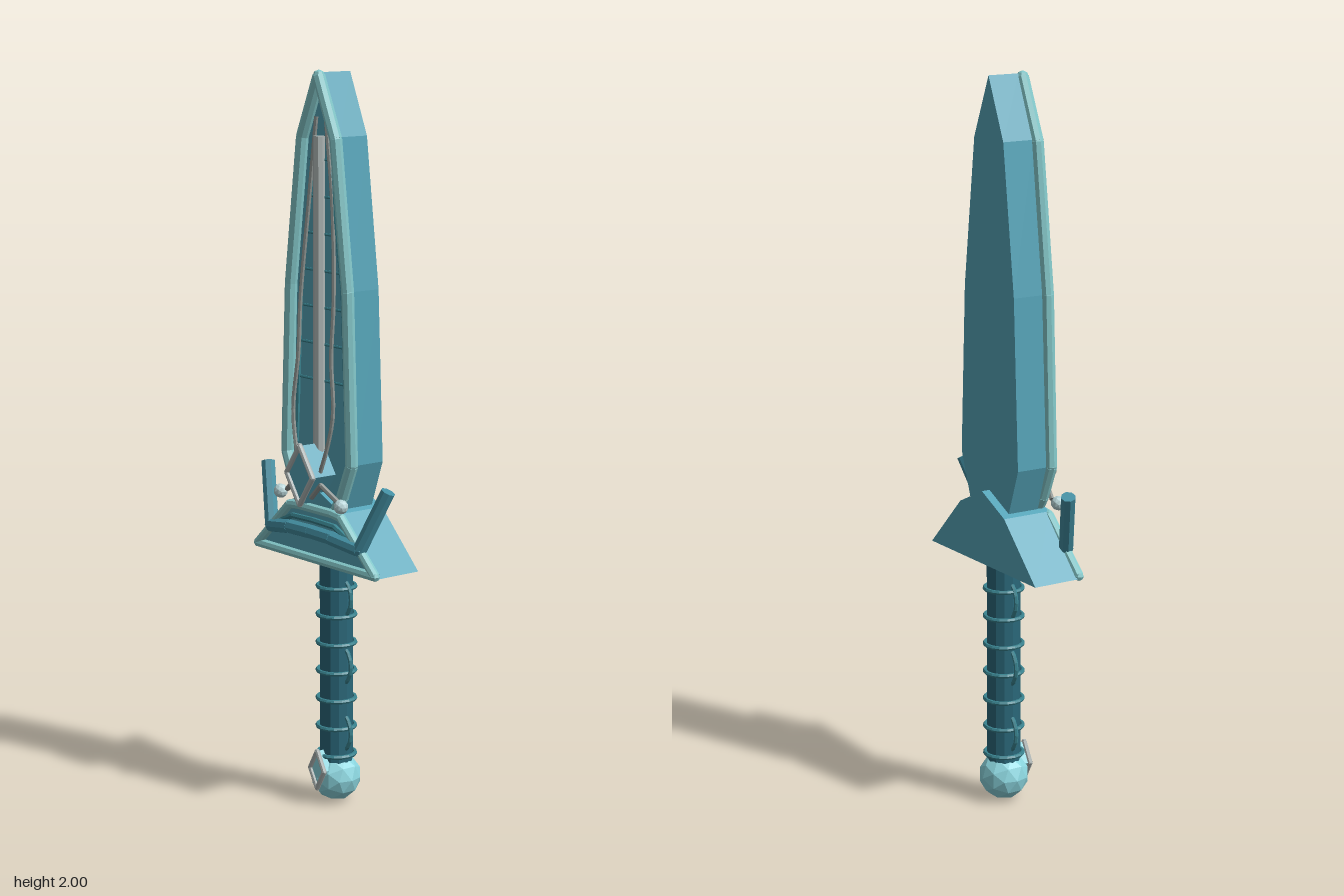
import * as THREE from 'three';
import { mergeGeometries } from 'three/addons/utils/BufferGeometryUtils.js';

const mat = (name, color) => {
  const m = new THREE.MeshStandardMaterial({ color });
  m.name = name;
  return m;
};

export function createModel() {
  const root = new THREE.Group();
  root.name = 'dagger';

  const steel = mat('blade teal', 0x55a4b8);
  const edge = mat('pale teal trim', 0x84c8ca);
  const guardTeal = mat('guard teal', 0x438fa2);
  const gripTeal = mat('dark grip teal', 0x2a6779);
  const ringTeal = mat('ring teal', 0x39838f);
  const silver = mat('silver', 0xacb4b3);
  const wireGrey = mat('wire grey', 0x8c928f);
  const pearl = mat('pearl', 0xb8d5d8);
  const aqua = mat('pommel aqua', 0x8bd5de);

  // Faceted mesh
  const add = (name, geo, material, x = 0, y = 0, z = 0) => {
    const g = geo.index ? geo.toNonIndexed() : geo;
    g.computeVertexNormals();
    const mesh = new THREE.Mesh(g, material);
    mesh.name = name;
    mesh.position.set(x, y, z);
    root.add(mesh);
    return mesh;
  };

  // Straight rods joined by small faceted knuckles
  const rods = (name, points, r, material, closed = false, sides = 8) => {
    const v = points.map(p => new THREE.Vector3(...p));
    const parts = [];
    const up = new THREE.Vector3(0, 1, 0);
    const count = closed ? v.length : v.length - 1;
    for (let i = 0; i < count; i++) {
      const a = v[i], b = v[(i + 1) % v.length];
      const d = b.clone().sub(a);
      const rod = new THREE.CylinderGeometry(r, r, d.length(), sides);
      rod.applyQuaternion(new THREE.Quaternion().setFromUnitVectors(up, d.normalize()));
      const mid = a.clone().add(b).multiplyScalar(0.5);
      parts.push(rod.translate(mid.x, mid.y, mid.z));
      if (closed || i > 0) parts.push(new THREE.SphereGeometry(r, sides, 4).translate(a.x, a.y, a.z));
    }
    return add(name, mergeGeometries(parts), material);
  };

  // Right half of an outline, from top centre down, mirrored into a full loop
  const mirrored = half => [
    ...half,
    ...half.slice().reverse().filter(p => p[0] > 0).map(([x, y]) => [-x, y]),
  ];
  const slab = (name, loop, z0, z1, material) => {
    const shape = new THREE.Shape(loop.map(p => new THREE.Vector2(...p)));
    const geo = new THREE.ExtrudeGeometry(shape, { depth: z1 - z0, bevelEnabled: false });
    return add(name, geo.translate(0, 0, z0), material);
  };
  const atZ = (loop, z) => loop.map(([x, y]) => [x, y, z]);

  // Blade slab and its raised rim
  slab('blade', mirrored([[0, 1.995], [0.07, 1.83], [0.12, 1.43], [0.14, 0.97], [0.09, 0.83]]), -0.078, 0.014, steel);
  rods('bladeRim', atZ(mirrored([[0, 1.985], [0.07, 1.825], [0.12, 1.43], [0.138, 0.97], [0.1, 0.88], [0.07, 0.835]]), 0.027), 0.017, edge, true);

  // Central rib and thin cross bars
  rods('bladeRib', [[0, 0.95, 0.027], [0, 1.83, 0.027]], 0.016, silver);
  for (let i = 0; i < 7; i++) {
    const y = 1.18 + i * 0.098;
    const w = 0.1 - i * 0.008;
    rods('bladeCrossBar', [[-w, y, 0.015], [w, y, 0.015]], 0.004, ringTeal, false, 6);
  }

  for (const s of [-1, 1]) {
    // Inner channel line, and a wire that climbs forward to the gem
    rods('bladeChannel', [[s * 0.025, 1.83, 0.018], [s * 0.088, 1.43, 0.018], [s * 0.108, 1.0, 0.018]], 0.006, ringTeal, false, 6);
    const wire = new THREE.CatmullRomCurve3([
      [0.02, 1.88, 0.02], [0.05, 1.65, 0.022], [0.07, 1.4, 0.034], [0.07, 1.25, 0.042],
      [0.085, 1.1, 0.048], [0.065, 1.0, 0.055], [0.04, 0.93, 0.06],
    ].map(([x, y, z]) => new THREE.Vector3(s * x, y, z)));
    add('bladeWire', new THREE.TubeGeometry(wire, 28, 0.006, 6), wireGrey);
    rods('gemBrace', [[s * 0.11, 0.87, 0.05], [s * 0.055, 0.91, 0.065], [s * 0.02, 0.87, 0.07]], 0.007, wireGrey, false, 6);
    add('guardPearl', new THREE.IcosahedronGeometry(0.02, 1), pearl, s * 0.13, 0.863, 0.057);

    // Horned arm sweeping across the guard
    rods('guardArm', [[s * 0.258, 0.918, 0.002], [s * 0.19, 0.755, 0.042], [s * 0.09, 0.77, 0.055], [0, 0.772, 0.056]], 0.02, guardTeal);
    rods('guardBrow', [[s * 0.17, 0.765, 0.045], [s * 0.09, 0.8, 0.047], [0, 0.803, 0.049]], 0.008, ringTeal, false, 6);
  }

  // Guard block with trim round its front edge
  slab('guard', mirrored([[0, 0.89], [0.11, 0.838], [0.26, 0.688]]), -0.102, 0.04, steel);
  rods('guardRim', atZ(mirrored([[0.075, 0.832], [0.11, 0.828], [0.253, 0.694]]), 0.041), 0.013, edge, true);

  // Diamond bosses: a body with a silver frame on its face
  const diamond = (name, y, w, h, z0, z1, r, material) => {
    const loop = [[0, y + h], [w, y], [0, y - h], [-w, y]];
    slab(name, loop, z0, z1, material);
    rods(name + 'Frame', atZ(loop, z1), r, silver, true);
  };
  diamond('guardGem', 0.932, 0.055, 0.08, 0.01, 0.093, 0.008, steel);
  diamond('pommelGem', 0.098, 0.03, 0.053, -0.03, 0.034, 0.007, aqua);

  // Grip with binding rings and side loops
  const gz = -0.033;
  add('grip', new THREE.CylinderGeometry(0.046, 0.046, 0.59, 12), gripTeal, 0, 0.405, gz);
  for (let i = 0; i < 7; i++) {
    const ring = add('gripRing', new THREE.TorusGeometry(0.052, 0.006, 6, 16), ringTeal, 0, 0.135 + i * 0.079, gz);
    ring.rotation.x = Math.PI / 2;
  }
  for (const y of [0.2, 0.39, 0.58]) {
    add('gripLoop', new THREE.TorusGeometry(0.063, 0.006, 6, 20), ringTeal, 0, y, gz);
  }

  // Pommel
  add('pommel', new THREE.IcosahedronGeometry(0.069, 1), aqua, 0, 0.069, gz);

  return root;
}
